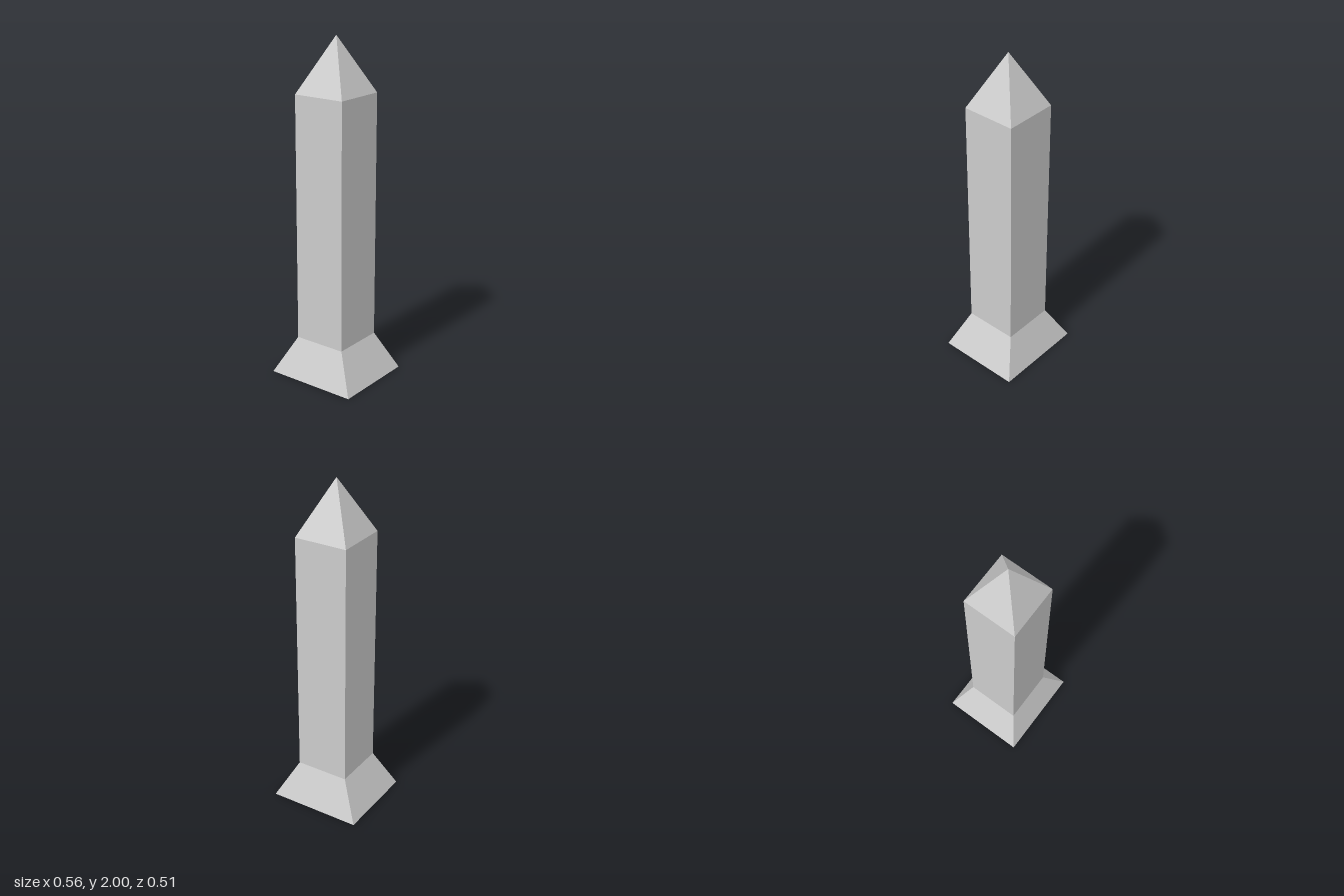
import * as THREE from 'three';

const material = new THREE.MeshStandardMaterial({ color: 0xcccccc, flatShading: true });
const SHAFT = 0.161;      // half width of the square shaft
const BASE_X = 0.281;     // half extents of the flared foot
const BASE_Z = 0.254;
const FOOT_TOP = 0.225, SHAFT_TOP = 1.68, TIP = 2;

// Four-sided open section between two heights, sides facing the axes
function section(name, y0, y1, topHalf, bottomHalf) {
  const r = Math.SQRT2;
  const geo = new THREE.CylinderGeometry(topHalf * r, bottomHalf * r, y1 - y0, 4, 1, true);
  geo.rotateY(Math.PI / 4);
  geo.translate(0, (y0 + y1) / 2, 0);
  const mesh = new THREE.Mesh(geo, material);
  mesh.name = name;
  return mesh;
}

export function createModel() {
  const group = new THREE.Group();
  group.name = 'obelisk';

  // Flared foot: its lower edge is wider in x than in z
  const foot = section('foot', 0, FOOT_TOP, SHAFT, SHAFT);
  const pos = foot.geometry.attributes.position;
  for (let i = 0; i < pos.count; i++) {
    if (pos.getY(i) < FOOT_TOP / 2) {
      pos.setX(i, Math.sign(pos.getX(i)) * BASE_X);
      pos.setZ(i, Math.sign(pos.getZ(i)) * BASE_Z);
    }
  }
  foot.geometry.computeVertexNormals();

  // Underside
  const underside = new THREE.Mesh(
    new THREE.PlaneGeometry(BASE_X * 2, BASE_Z * 2).rotateX(Math.PI / 2), material);
  underside.name = 'underside';

  // Shaft and pyramid tip
  const shaft = section('shaft', FOOT_TOP, SHAFT_TOP, SHAFT, SHAFT);
  const tip = section('tip', SHAFT_TOP, TIP, 0, SHAFT);

  group.add(foot, underside, shaft, tip);
  return group;
}
